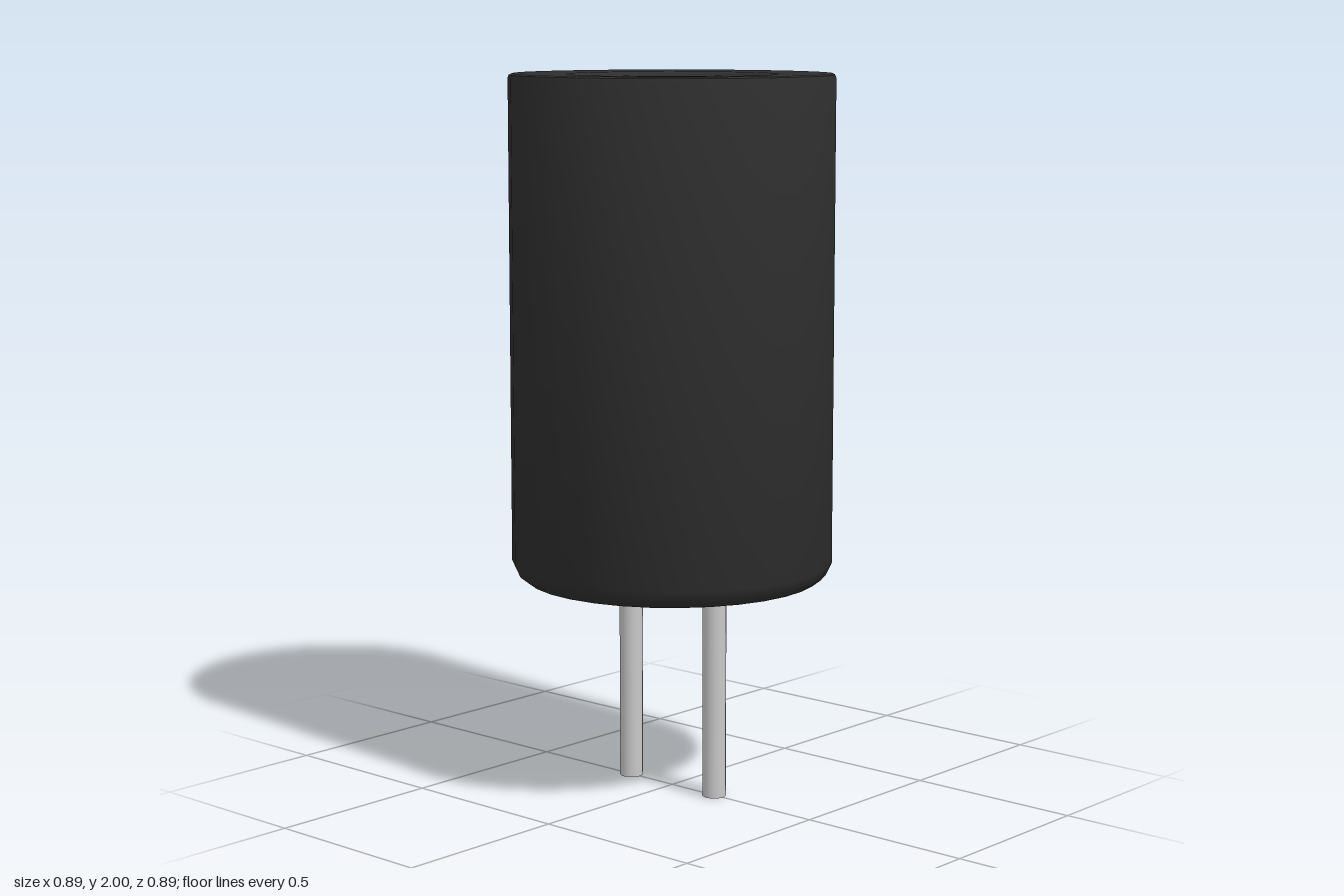
import * as THREE from 'three';
import { toCreasedNormals } from 'three/addons/utils/BufferGeometryUtils.js';

export function createModel() {
  const model = new THREE.Group();
  const black = new THREE.MeshStandardMaterial({ color: 0x2e2e2e });
  black.name = 'black sleeve';
  const metal = new THREE.MeshStandardMaterial({ color: 0xc8c8c8 });
  metal.name = 'tinned metal';

  const add = (name, geometry, material) => {
    const mesh = new THREE.Mesh(geometry, material);
    mesh.name = name;
    model.add(mesh);
    return mesh;
  };

  // Can with a rounded base, a recessed underside and a shallow recess on top
  const profile = [
    [0, 0.63], [0.262, 0.63], [0.268, 0.612], [0.285, 0.6], [0.385, 0.6],
    [0.41, 0.605], [0.432, 0.622], [0.447, 0.655],
    [0.447, 1.988], [0.444, 1.996], [0.436, 2],
    [0.29, 1.998], [0.278, 1.992], [0.27, 1.978], [0, 1.978],
  ].map(([r, y]) => new THREE.Vector2(r, y));
  add('canBody', toCreasedNormals(new THREE.LatheGeometry(profile, 32), 0.6), black);

  // Four raised quarters leave a cross-shaped vent groove between them
  const gap = 0.023, radius = 0.268, start = Math.asin(gap / radius);
  const quarter = new THREE.Shape();
  quarter.moveTo(gap, gap);
  quarter.absarc(0, 0, radius, start, Math.PI / 2 - start, false);
  quarter.closePath();
  const quarterGeometry = new THREE.ExtrudeGeometry(quarter, { depth: 0.01, bevelEnabled: false, curveSegments: 8 });
  quarterGeometry.rotateX(-Math.PI / 2);
  for (let i = 0; i < 4; i++) {
    const vent = add('ventQuarter' + (i + 1), quarterGeometry, black);
    vent.position.y = 1.977;
    vent.rotation.y = i * Math.PI / 2;
  }

  // Two wire leads, front and back
  const leadGeometry = new THREE.CylinderGeometry(0.033, 0.033, 0.64, 16);
  for (const [name, side] of [['frontLead', 1], ['backLead', -1]]) {
    add(name, leadGeometry, metal).position.set(0, 0.32, side * 0.157);
  }
  return model;
}
